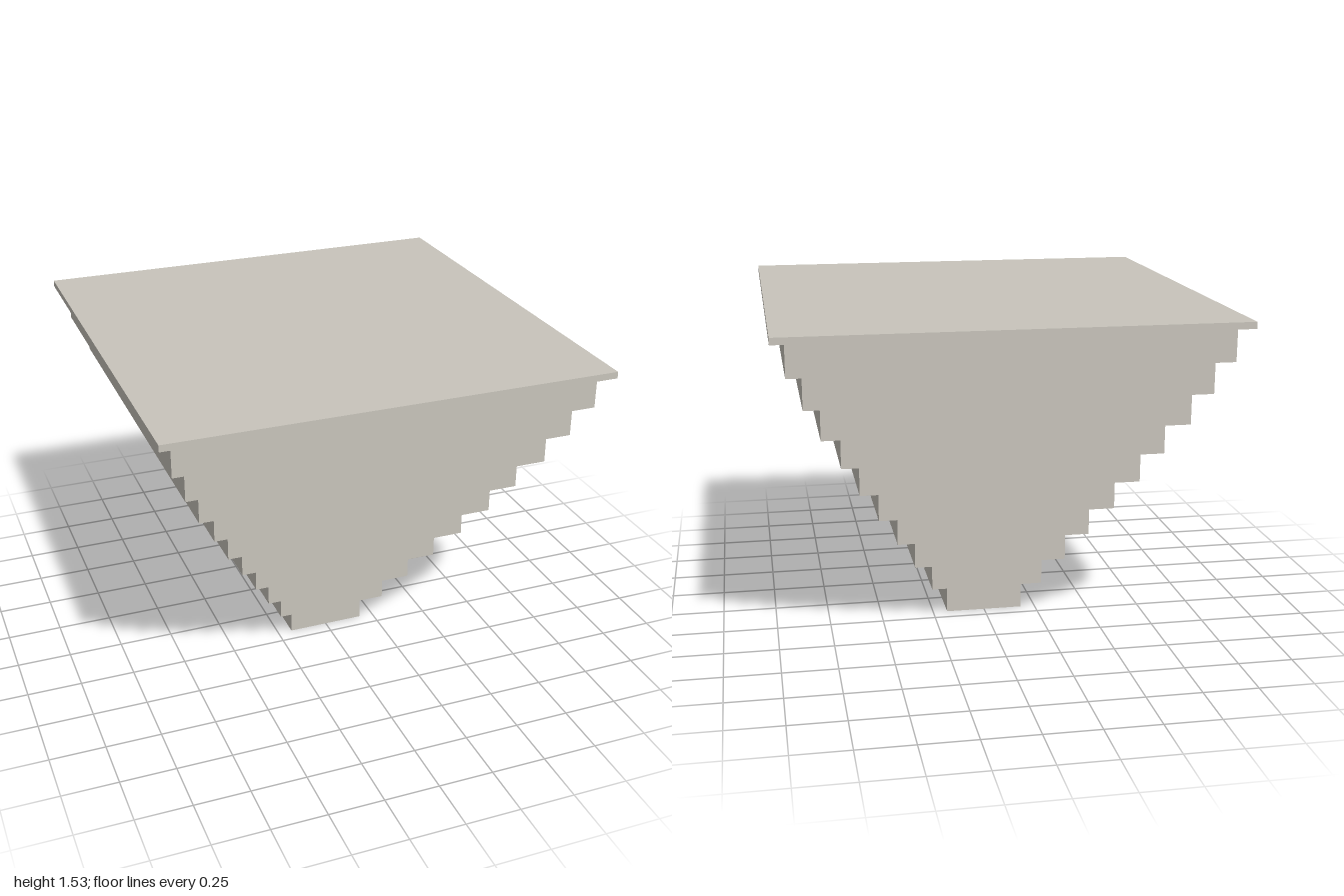
import * as THREE from 'three';
import { mergeGeometries } from 'three/addons/utils/BufferGeometryUtils.js';

const COURSE = 0.1505; // height of one stone course
const SLAB = 0.03; // thickness of the top paving

// Half width of each course, from the bottom up, with its block joints (same along x and z)
const COURSES = [
  [0.182, [0.015]],
  [0.265, [-0.182, 0.03, 0.182, 0.23]],
  [0.357, [-0.265, -0.16, 0.04, 0.24, 0.265]],
  [0.447, [-0.357, -0.152, 0.048, 0.25, 0.357]],
  [0.54, [-0.447, -0.345, 0.055, 0.255, 0.447]],
  [0.63, [-0.54, -0.335, -0.135, 0.065, 0.265, 0.465, 0.54]],
  [0.713, [-0.63, -0.52, -0.32, -0.12, 0.08, 0.48, 0.63, 0.68]],
  [0.8, [-0.713, -0.505, -0.305, -0.105, 0.095, 0.295, 0.495, 0.713]],
  [0.873, [-0.8, -0.675, -0.475, -0.275, -0.075, 0.125, 0.325, 0.525, 0.725, 0.8]],
  [0.94, [-0.873, -0.843, -0.443, -0.243, -0.043, 0.157, 0.357, 0.557, 0.757, 0.873]],
];
const PAVING_JOINTS = [-0.94, -0.8, -0.6, -0.4, -0.2, 0.2, 0.4, 0.6, 0.8, 0.94];

// A square layer of touching blocks, divided along both axes at the joints
function blockLayer(name, half, joints, y, height, material) {
  const cuts = [-half, ...joints, half];
  const blocks = [];
  for (let i = 0; i < cuts.length - 1; i++) {
    for (let j = 0; j < cuts.length - 1; j++) {
      const block = new THREE.BoxGeometry(cuts[i + 1] - cuts[i], height, cuts[j + 1] - cuts[j]);
      block.translate((cuts[i] + cuts[i + 1]) / 2, y + height / 2, (cuts[j] + cuts[j + 1]) / 2);
      blocks.push(block);
    }
  }
  const mesh = new THREE.Mesh(mergeGeometries(blocks), material);
  mesh.name = name;
  return mesh;
}

export function createModel() {
  const stone = new THREE.MeshStandardMaterial({ color: 0xc8c4bb });
  stone.name = 'pale stone';

  const model = new THREE.Group();
  model.name = 'invertedSteppedPyramid';

  // Widening stone courses
  COURSES.forEach(([half, joints], i) => {
    model.add(blockLayer(`stoneCourse${i + 1}`, half, joints, i * COURSE, COURSE, stone));
  });

  // Thin overhanging paving on top
  model.add(blockLayer('topPaving', 1, PAVING_JOINTS, COURSES.length * COURSE, SLAB, stone));

  return model;
}
